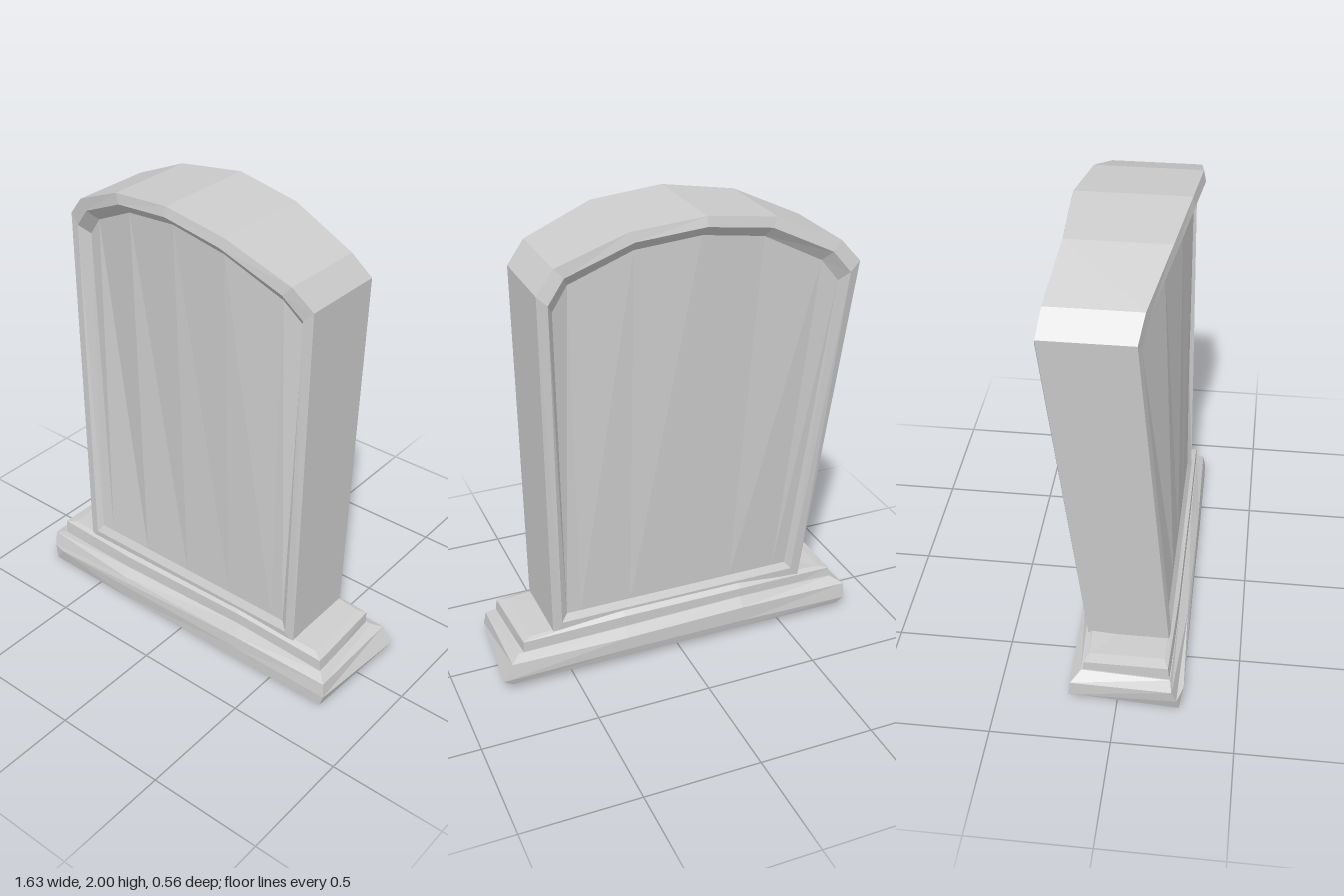
import * as THREE from 'three';

const material = new THREE.MeshStandardMaterial({ color: 0xcccccc, flatShading: true, side: THREE.DoubleSide });

// Skins matching rings of points; each ring is one row left to right, then the facing row right to left.
function loft(name, rings) {
  const pos = [];
  const quad = (a, b, c, d) => [a, b, c, a, c, d].forEach((p) => pos.push(...p));
  const m = rings[0].length;
  for (let k = 0; k + 1 < rings.length; k++) {
    for (let i = 0; i < m; i++) {
      const j = (i + 1) % m;
      quad(rings[k][i], rings[k][j], rings[k + 1][j], rings[k + 1][i]);
    }
  }
  const first = rings[0], last = rings[rings.length - 1];
  for (let i = 0; i < m / 2 - 1; i++) {
    const j = m - 1 - i;
    quad(first[i], first[j], first[j - 1], first[i + 1]);
    quad(last[i], last[i + 1], last[j - 1], last[j]);
  }
  const geometry = new THREE.BufferGeometry();
  geometry.setAttribute('position', new THREE.Float32BufferAttribute(pos, 3));
  geometry.computeVertexNormals();
  const mesh = new THREE.Mesh(geometry, material);
  mesh.name = name;
  return mesh;
}

// Arched top of the slab: x, y, front z, back z
const arch = [
  [-0.73, 1.75, 0.08, -0.28], [-0.65, 1.84, 0.1, -0.265], [-0.38, 1.96, 0.17, -0.23],
  [-0.08, 2.0, 0.215, -0.235], [0.22, 1.965, 0.235, -0.2], [0.51, 1.85, 0.21, -0.165],
  [0.59, 1.76, 0.18, -0.19],
];

// One outline of the slab, shrunk by inset and pushed outward from the face by lift
function slabRing(front, inset, drop, foot, lift) {
  const sign = front ? 1 : -1;
  const cx = -0.05;
  const shrink = (x) => cx + (x - cx) * (1 - inset);
  const top = arch.map(([x, y, zf, zb]) => [shrink(x), y - drop, (front ? zf : zb) + sign * lift]);
  const bottom = arch.map(([x]) => [
    shrink(-0.6 + ((x + 0.73) / 1.32) * 1.17), foot, (front ? 0.2 : -0.14) + sign * lift * 0.4,
  ]);
  return [...top, ...bottom.reverse()];
}

// One level of a plinth tier from back and front rows of [x, y, z]
const level = (back, front) => [...back, ...front.slice().reverse()];

export function createModel() {
  const group = new THREE.Group();
  group.name = 'gravestone';

  // Twisted slab with a raised rim and sunken panel on both faces
  group.add(loft('slab', [
    slabRing(true, 0.11, 0.085, 0.27, -0.035),
    slabRing(true, 0.065, 0.04, 0.235, 0.01),
    slabRing(true, 0, 0, 0.18, 0),
    slabRing(false, 0, 0, 0.18, 0),
    slabRing(false, 0.065, 0.04, 0.25, 0.01),
    slabRing(false, 0.11, 0.085, 0.28, -0.035),
  ]));

  // Upper tier of the base with a slightly wavy bevelled top
  group.add(loft('upperTier', [
    level(
      [[-0.72, 0.21, -0.12], [-0.3, 0.24, -0.14], [0.25, 0.24, -0.14], [0.67, 0.21, -0.13]],
      [[-0.72, 0.21, 0.19], [-0.35, 0.21, 0.2], [0.28, 0.22, 0.2], [0.68, 0.205, 0.19]],
    ),
    level(
      [[-0.765, 0.2, -0.14], [-0.3, 0.22, -0.165], [0.25, 0.22, -0.165], [0.705, 0.2, -0.15]],
      [[-0.765, 0.2, 0.21], [-0.35, 0.195, 0.22], [0.28, 0.21, 0.22], [0.72, 0.19, 0.215]],
    ),
    level(
      [[-0.765, 0.1, -0.15], [-0.3, 0.1, -0.165], [0.25, 0.1, -0.165], [0.71, 0.1, -0.15]],
      [[-0.765, 0.1, 0.22], [-0.35, 0.1, 0.225], [0.28, 0.1, 0.225], [0.73, 0.1, 0.22]],
    ),
  ]));

  // Chipped lower tier standing on the ground
  group.add(loft('lowerTier', [
    level(
      [[-0.77, 0.16, -0.15], [-0.3, 0.18, -0.17], [0.25, 0.17, -0.17], [0.73, 0.15, -0.15]],
      [[-0.77, 0.14, 0.22], [-0.35, 0.14, 0.225], [0.3, 0.16, 0.225], [0.73, 0.14, 0.22]],
    ),
    level(
      [[-0.82, 0.13, -0.19], [-0.3, 0.14, -0.2], [0.25, 0.13, -0.2], [0.77, 0.13, -0.19]],
      [[-0.82, 0.12, 0.23], [-0.35, 0.11, 0.26], [0.3, 0.115, 0.26], [0.765, 0.11, 0.25]],
    ),
    level(
      [[-0.82, 0.06, -0.2], [-0.3, 0.07, -0.2], [0.25, 0.07, -0.2], [0.815, 0.06, -0.2]],
      [[-0.81, 0.06, 0.25], [-0.74, 0.07, 0.275], [0.3, 0.06, 0.265], [0.775, 0.05, 0.26]],
    ),
    level(
      [[-0.79, 0.03, -0.19], [-0.3, 0.03, -0.19], [0.25, 0.03, -0.19], [0.77, 0.03, -0.19]],
      [[-0.79, 0, 0.26], [-0.35, 0, 0.265], [0.3, 0, 0.265], [0.76, 0, 0.26]],
    ),
  ]));

  return group;
}
